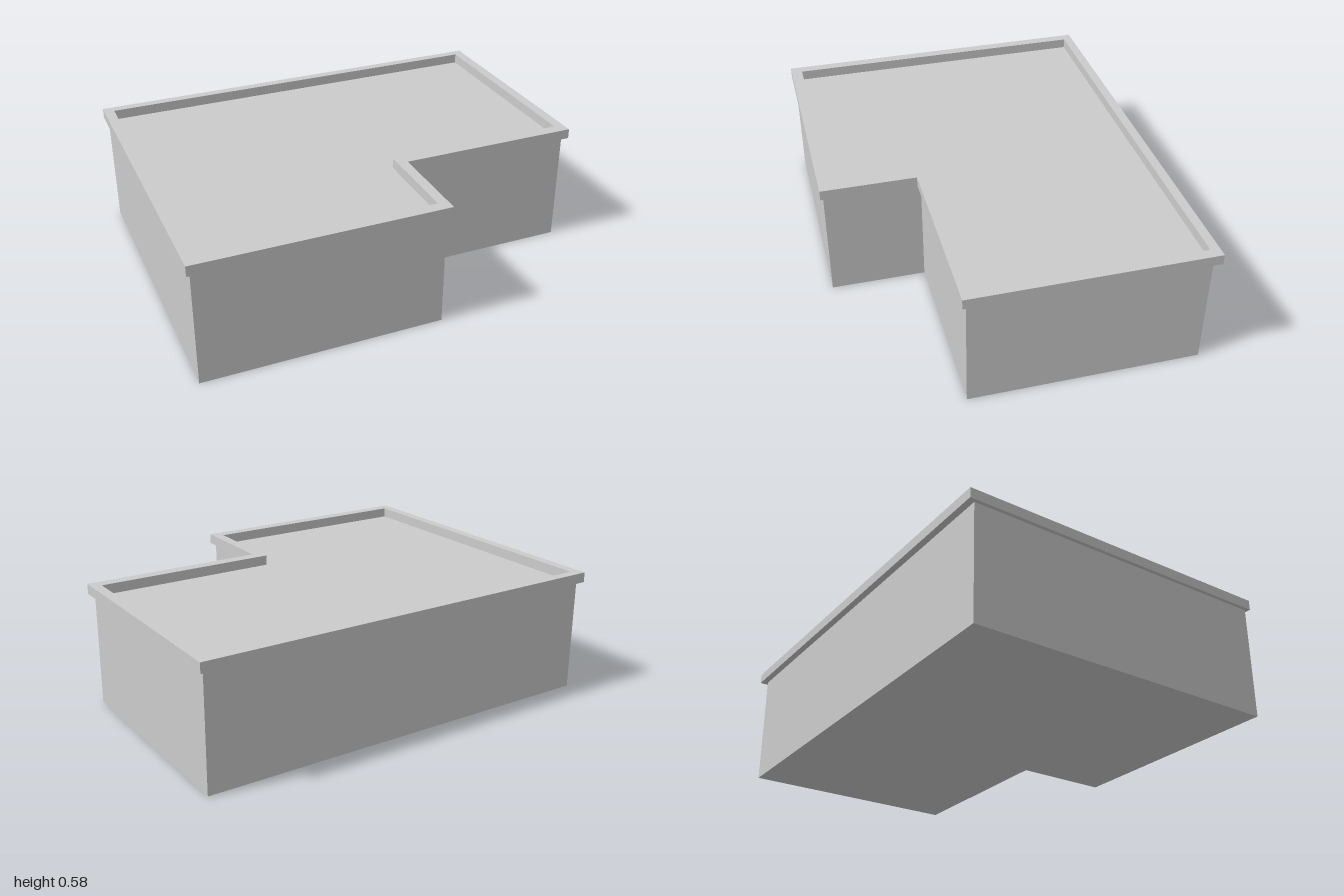
import * as THREE from 'three';

const WALL_TOP = 0.533, RIM_TOP = 0.58;

// L-shaped plan outline; the notch is cut from the front left corner.
function outline(x0, x1, z0, z1, notchX, notchZ) {
  return [[x0, z1], [notchX, z1], [notchX, notchZ], [x1, notchZ], [x1, z0], [x0, z0]]
    .map(([x, z]) => new THREE.Vector2(x, -z));
}

// Extrude a plan upward from y to y + height.
function raise(name, shape, y, height, material) {
  const geometry = new THREE.ExtrudeGeometry(shape, { depth: height, bevelEnabled: false });
  geometry.rotateX(-Math.PI / 2);
  geometry.translate(0, y, 0);
  const mesh = new THREE.Mesh(geometry, material);
  mesh.name = name;
  return mesh;
}

export function createModel() {
  const group = new THREE.Group();
  group.name = 'flatRoofBuilding';
  const material = new THREE.MeshStandardMaterial({ color: 0xcccccc });

  // Building body; its top is the flat roof
  const body = new THREE.Shape(outline(-0.983, 0.975, -0.74, 0.755, 0.123, 0.31));
  group.add(raise('walls', body, 0, WALL_TOP, material));

  // Overhanging parapet around the roof edge
  const rim = new THREE.Shape(outline(-1, 1, -0.77, 0.77, 0.146, 0.33));
  rim.holes.push(new THREE.Path(outline(-0.953, 0.953, -0.727, 0.717, 0.098, 0.275)));
  group.add(raise('parapet', rim, WALL_TOP, RIM_TOP - WALL_TOP, material));

  return group;
}
